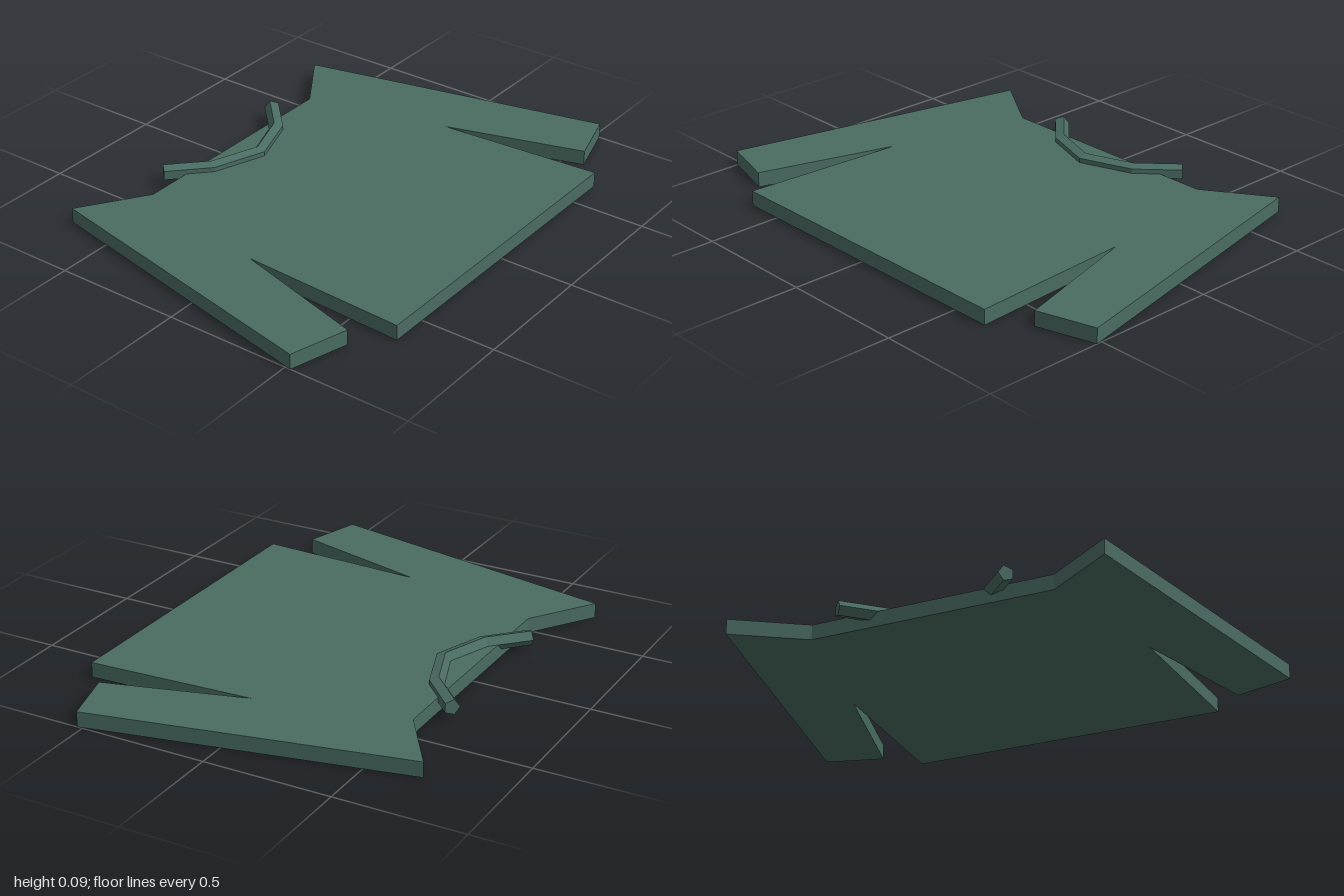
import * as THREE from 'three';

const THICKNESS = 0.06;

// Mirrors the +x half of an outline to make a full list of points.
function mirrored(half) {
  return [...half, ...half.slice().reverse().map(([x, z]) => [-x, z])];
}

// Flat sweater panel: shoulders, sleeves and hem cut from one slab.
function makeBody() {
  const half = [
    [0.48, -0.535], [0.738, -0.707], [1, 0.522],
    [0.77, 0.588], [0.615, 0.04], [0.65, 0.706],
  ];
  const shape = new THREE.Shape(mirrored(half).map(([x, z]) => new THREE.Vector2(x, z)));
  const geo = new THREE.ExtrudeGeometry(shape, { depth: THICKNESS, bevelEnabled: false });
  geo.rotateX(Math.PI / 2);
  geo.translate(0, THICKNESS, 0);
  return geo;
}

// Five-sided collar roll swept along a bent path lying on the panel.
function makeCollar() {
  const path = [[-0.333, -0.612], [-0.197, -0.481], [0, -0.41], [0.197, -0.481], [0.333, -0.612]]
    .map(([x, z]) => new THREE.Vector3(x, THICKNESS, z));
  const sides = 5, radius = 0.031, last = path.length - 1;
  const positions = [], index = [];

  path.forEach((p, i) => {
    const before = p.clone().sub(path[Math.max(i - 1, 0)]).normalize();
    const after = path[Math.min(i + 1, last)].clone().sub(p).normalize();
    const t = before.add(after).normalize();
    for (let j = 0; j < sides; j++) {
      const a = ((j - 0.5) / sides) * Math.PI * 2;
      const out = Math.cos(a) * radius;
      positions.push(p.x - t.z * out, p.y + Math.sin(a) * radius, p.z + t.x * out);
    }
  });

  for (let i = 0; i < last; i++) {
    for (let j = 0; j < sides; j++) {
      const k = (j + 1) % sides;
      const a = i * sides + j, c = i * sides + k;
      index.push(a, a + sides, c, a + sides, c + sides, c);
    }
  }
  // End caps
  const e = last * sides;
  for (let j = 1; j < sides - 1; j++) {
    index.push(0, j, j + 1, e, e + j + 1, e + j);
  }

  const geo = new THREE.BufferGeometry();
  geo.setAttribute('position', new THREE.Float32BufferAttribute(positions, 3));
  geo.setIndex(index);
  const flat = geo.toNonIndexed();
  flat.computeVertexNormals();
  return flat;
}

export function createModel() {
  const group = new THREE.Group();
  group.name = 'sweater';
  const green = new THREE.MeshStandardMaterial({ color: 0x4a6c62 });
  green.name = 'dark green knit';

  const body = new THREE.Mesh(makeBody(), green);
  body.name = 'bodyAndSleeves';
  const collar = new THREE.Mesh(makeCollar(), green);
  collar.name = 'collar';
  group.add(body, collar);
  return group;
}
